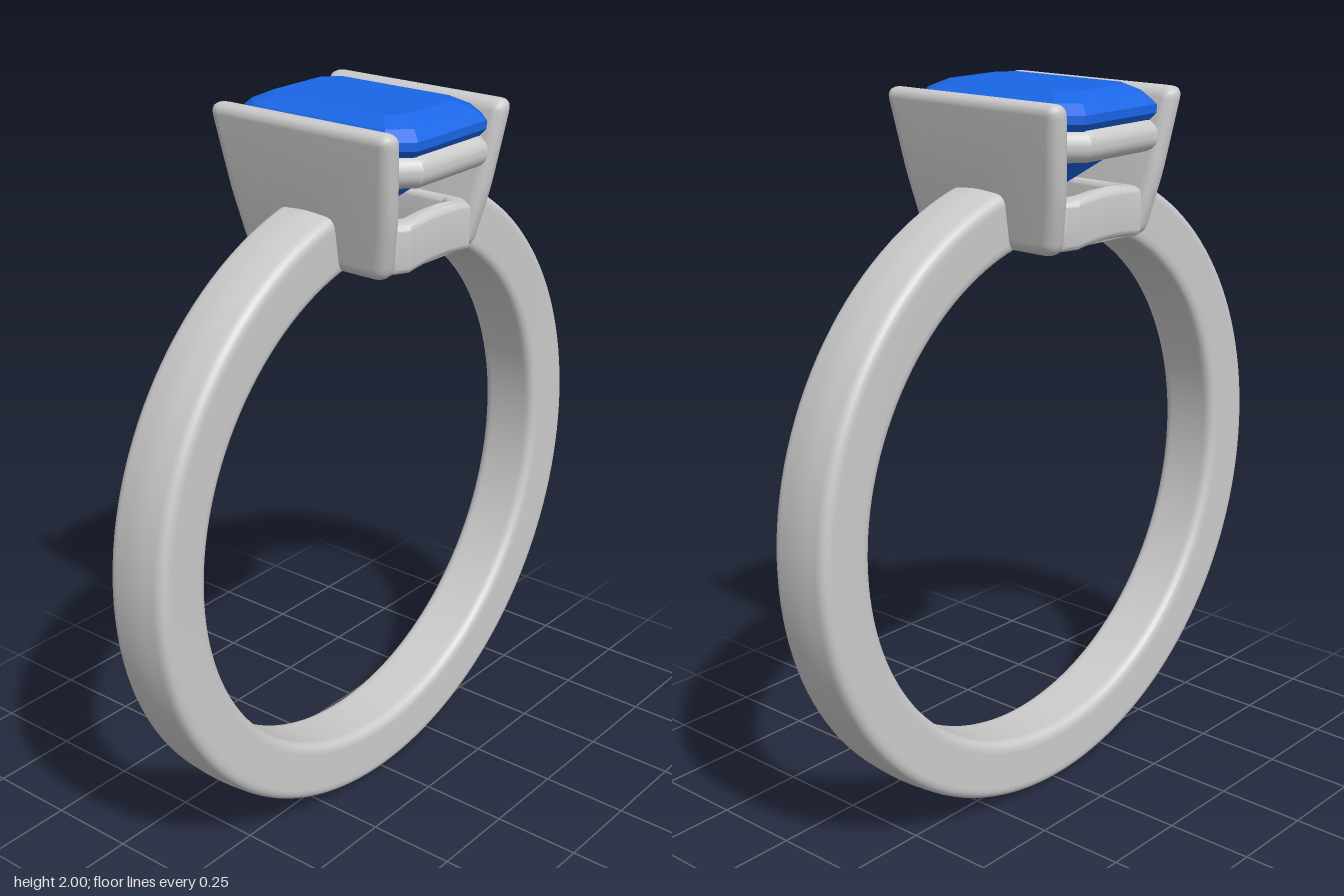
import * as THREE from 'three';
import { toCreasedNormals } from 'three/addons/utils/BufferGeometryUtils.js';

const metal = new THREE.MeshStandardMaterial({ color: 0xcccccc });
const blue = new THREE.MeshStandardMaterial({ color: 0x1a66e6, flatShading: true });
const RING_Y = 0.892, OUTER = 0.89, INNER = 0.72;

function addMesh(group, name, geometry, material = metal) {
  const mesh = new THREE.Mesh(geometry, material);
  mesh.name = name;
  group.add(mesh);
  return mesh;
}

// Rectangle with cut corners, counter-clockwise
function octagon(hx, hy, c) {
  return [[hx, -hy + c], [hx, hy - c], [hx - c, hy], [-hx + c, hy],
    [-hx, hy - c], [-hx, -hy + c], [-hx + c, -hy], [hx - c, -hy]]
    .map(([x, y]) => new THREE.Vector2(x, y));
}

// Split every edge so that a shape can be bent afterwards
function subdivide(points, n) {
  return points.flatMap((p, i) => Array.from({ length: n }, (_, k) =>
    p.clone().lerp(points[(i + 1) % points.length], k / n)));
}

function roundedPolygon(corners, r) {
  const shape = new THREE.Shape();
  corners.forEach((p, i) => {
    const prev = corners.at(i - 1), next = corners[(i + 1) % corners.length];
    const a = p.clone().add(prev.clone().sub(p).setLength(r));
    const b = p.clone().add(next.clone().sub(p).setLength(r));
    if (i) shape.lineTo(a.x, a.y); else shape.moveTo(a.x, a.y);
    shape.quadraticCurveTo(p.x, p.y, b.x, b.y);
  });
  shape.closePath();
  return shape;
}

// Octagonal frame lying flat, centred on y = 0
function frame(hx, hz, cut, width, height, bevel) {
  const shape = new THREE.Shape(subdivide(octagon(hx, hz, cut), 6));
  shape.holes.push(new THREE.Path(subdivide(octagon(hx - width, hz - width, cut * 0.6), 6).reverse()));
  const g = new THREE.ExtrudeGeometry(shape, {
    depth: height - 2 * bevel, bevelThickness: bevel, bevelSize: bevel, bevelOffset: -bevel, bevelSegments: 5,
  });
  return g.translate(0, 0, -height / 2 + bevel).rotateX(-Math.PI / 2);
}

// Move each vertex by a rule
function deform(g, rule) {
  const pos = g.attributes.position, v = new THREE.Vector3();
  for (let i = 0; i < pos.count; i++) {
    rule(v.fromBufferAttribute(pos, i));
    pos.setXYZ(i, v.x, v.y, v.z);
  }
  return g;
}

// Step-cut stone from octagonal levels: y, half x, half z, corner cut
function gemGeometry() {
  const levels = [
    [1.75, 0, 0.11, 0], [1.84, 0.135, 0.22, 0.045], [1.93, 0.198, 0.288, 0.055],
    [1.952, 0.198, 0.288, 0.055], [1.978, 0.175, 0.262, 0.05], [2.0, 0.135, 0.215, 0.04],
  ];
  const rings = levels.map(([y, hx, hz, c]) =>
    octagon(hx, hz, c).map((p) => new THREE.Vector3(p.x, y, -p.y)));
  const tris = [];
  for (let l = 0; l < rings.length - 1; l++) {
    for (let i = 0; i < 8; i++) {
      const j = (i + 1) % 8, a = rings[l], b = rings[l + 1];
      tris.push(a[i], a[j], b[j], a[i], b[j], b[i]);
    }
  }
  const table = rings.at(-1);
  for (let i = 1; i < 7; i++) tris.push(table[0], table[i], table[i + 1]);
  const g = new THREE.BufferGeometry().setFromPoints(tris);
  g.computeVertexNormals();
  return g;
}

export function createModel() {
  const model = new THREE.Group();
  model.name = 'ring';

  // Shank: rounded section swept around, open under the setting
  const section = roundedPolygon([[INNER, 0.09], [INNER, -0.09], [OUTER - 0.008, -0.093],
    [OUTER, 0], [OUTER - 0.008, 0.093]].map(([x, y]) => new THREE.Vector2(x, y)), 0.03).getPoints(6);
  section.push(section[0].clone());
  const gap = 0.23;
  const shank = new THREE.LatheGeometry(section, 128, gap, Math.PI * 2 - 2 * gap);
  shank.rotateX(-Math.PI / 2).translate(0, RING_Y, 0);
  addMesh(model, 'shank', shank);

  // Leaning side plates that hold the stone
  const outline = [[-0.225, 1.595], [0.225, 1.595], [0.262, 1.76], [0.292, 1.988], [-0.292, 1.988], [-0.262, 1.76]]
    .map(([x, y]) => new THREE.Vector2(x, y));
  for (const side of [1, -1]) {
    const g = new THREE.ExtrudeGeometry(roundedPolygon(outline, 0.035), {
      depth: 0.008, bevelThickness: 0.028, bevelSize: 0.028, bevelOffset: -0.028, bevelSegments: 4, curveSegments: 5,
    });
    g.translate(0, 0, -0.004).rotateY(Math.PI / 2);
    deform(g, (v) => { v.x += 0.17 + (v.y - 1.6) * 0.17; });
    if (side < 0) g.rotateY(Math.PI);
    addMesh(model, side > 0 ? 'leftPlate' : 'rightPlate', toCreasedNormals(g, 0.6));
  }

  // Lower gallery, arched along the curve of the shank
  const gallery = deform(frame(0.185, 0.256, 0.06, 0.055, 0.13, 0.018), (v) => {
    v.y += RING_Y - 0.01 + Math.sqrt(0.8 * 0.8 - v.x * v.x);
  });
  addMesh(model, 'lowerGallery', toCreasedNormals(gallery, 0.6));

  // Round rail under the stone
  const rail = frame(0.19, 0.3, 0.055, 0.085, 0.085, 0.04).translate(0, 1.873, 0);
  addMesh(model, 'upperRail', toCreasedNormals(rail, 0.6));

  addMesh(model, 'gem', gemGeometry(), blue);
  return model;
}
